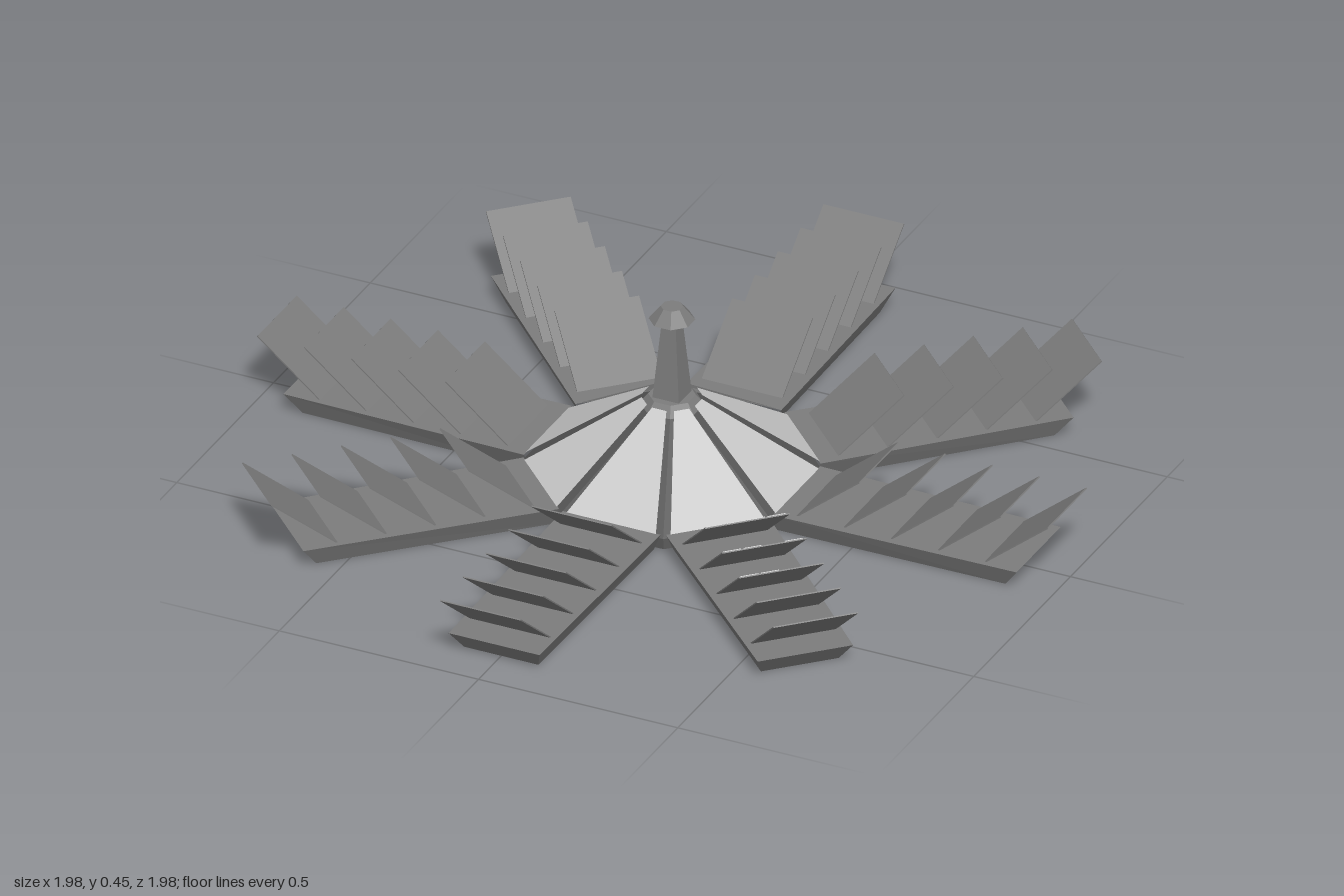
import * as THREE from 'three';

const mat = (name, color) => new THREE.MeshStandardMaterial({ name, color, side: THREE.DoubleSide, flatShading: true });

// Builds a mesh from a list of four-cornered faces
function quads(name, faces, material) {
  const pos = [];
  for (const [a, b, c, d] of faces) pos.push(...a, ...b, ...c, ...a, ...c, ...d);
  const geo = new THREE.BufferGeometry();
  geo.setAttribute('position', new THREE.Float32BufferAttribute(pos, 3));
  geo.computeVertexNormals();
  const mesh = new THREE.Mesh(geo, material);
  mesh.name = name;
  return mesh;
}

export function createModel() {
  const light = mat('pale grey', 0xc8c8c8);
  const grey = mat('mid grey', 0x7c7c7c);
  const dark = mat('dark grey', 0x565656);
  const model = new THREE.Group();
  model.name = 'solarStation';

  // Eight-sided tapered shell with flats facing the arms
  const ring = (name, rTop, rBottom, y0, y1, material, open = true) => {
    const k = Math.cos(Math.PI / 8);
    const geo = new THREE.CylinderGeometry(rTop / k, rBottom / k, y1 - y0, 8, 1, open, Math.PI / 8);
    const mesh = new THREE.Mesh(geo, material);
    mesh.name = name;
    mesh.position.y = (y0 + y1) / 2;
    model.add(mesh);
  };

  // Hub: dark shell showing as grooves between the pale roof facets
  ring('hubGrooves', 0.06, 0.312, 0.04, 0.205, dark);
  ring('hubSkirt', 0.312, 0.29, 0, 0.04, grey);
  ring('hubCollar', 0.05, 0.068, 0.2, 0.224, grey, false);

  // Mast and cap
  const mast = new THREE.Mesh(new THREE.CylinderGeometry(0.024, 0.047, 0.2, 4, 1, false, Math.PI / 4), grey);
  mast.name = 'mast';
  mast.position.y = 0.322;
  model.add(mast);
  ring('mastCap', 0.024, 0.049, 0.42, 0.453, grey, false);

  // Tile rows from the bottom of each panel upward
  const tiles = [
    ['1111', '1111', '1111', '1111'],
    ['1111', '1111', '1110', '1101'],
    ['1111', '1001', '1101', '1100'],
  ];
  const run = 0.16, rise = 0.13, tilt = Math.atan2(rise, run);
  const length = Math.hypot(run, rise) + 0.01;

  for (let i = 0; i < 8; i++) {
    const arm = new THREE.Group();
    arm.name = 'arm';
    arm.rotation.y = i * Math.PI / 4;
    model.add(arm);

    // Roof facet
    arm.add(quads('hubFacet', [[
      [-0.112, 0.05, 0.314], [0.112, 0.05, 0.314], [0.018, 0.218, 0.066], [-0.018, 0.218, 0.066],
    ]], light));

    // Deck with inward-sloping skirt walls
    const A = [-0.123, 0.05, 0.312], B = [-0.114, 0.05, 0.92], C = [0.114, 0.05, 0.92], D = [0.123, 0.05, 0.312];
    const a = [-0.1, 0, 0.3], b = [-0.093, 0, 0.882], c = [0.093, 0, 0.882], d = [0.1, 0, 0.3];
    arm.add(quads('armDeck', [[A, B, C, D]], grey));
    arm.add(quads('armSkirt', [[A, a, b, B], [B, b, c, C], [C, c, d, D]], grey));

    // Five tilted panels
    for (let j = 0; j < 5; j++) {
      const panel = new THREE.Group();
      panel.name = 'panel';
      panel.position.set(0, 0.045, 0.358 + j * 0.118);
      panel.rotation.x = -tilt;
      const board = new THREE.Mesh(new THREE.BoxGeometry(0.202, 0.003, length), grey);
      board.name = 'panelBoard';
      board.position.z = length / 2 - 0.008;
      panel.add(board);
      arm.add(panel);

      // Pale cells fitted on one arm only
      if (i === 1 && tiles[j]) tiles[j].forEach((row, r) => [...row].forEach((on, col) => {
        if (on === '0') return;
        const tile = new THREE.Mesh(new THREE.BoxGeometry(0.043, 0.003, 0.043), light);
        tile.name = 'cellTile';
        tile.position.set((col - 1.5) * 0.049, 0.003, 0.03 + r * 0.049);
        panel.add(tile);
      }));
    }
  }
  return model;
}
